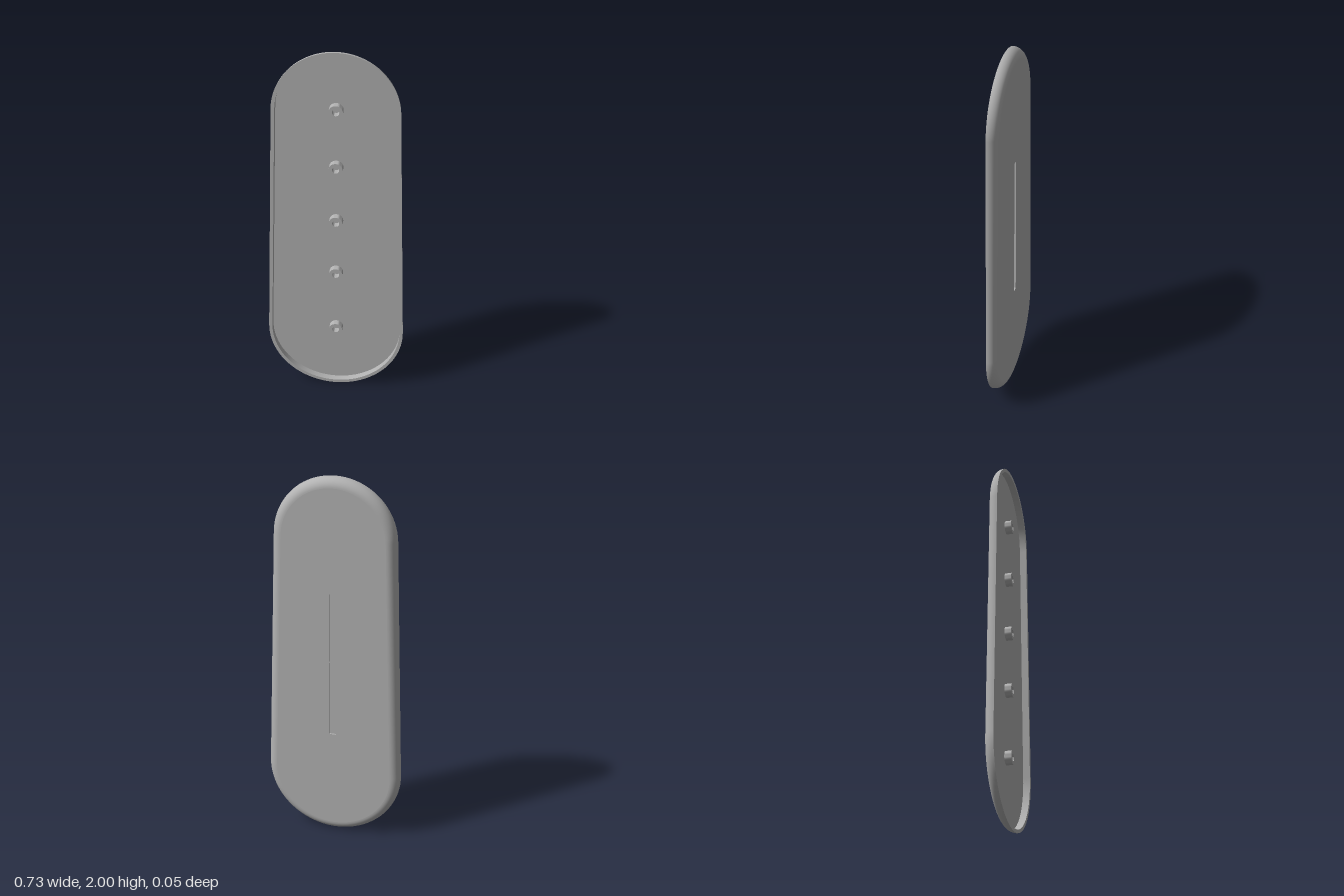
import * as THREE from 'three';
import { toCreasedNormals } from 'three/addons/utils/BufferGeometryUtils.js';

const BACK = -0.026, FRONT = 0.026, FLOOR = -0.01;
const FILLET = 0.05, WALL = 0.018;
const LOWER = { y: 0.365, r: 0.365 }, UPPER = { y: 1.682, r: 0.318 };

// Tapered pill outline, counterclockwise, offset inwards by inset
function outline(inset) {
  const tilt = Math.asin((LOWER.r - UPPER.r) / (UPPER.y - LOWER.y));
  const n = 40, points = [];
  const arc = (c, from, to) => {
    for (let i = 0; i <= n; i++) {
      const a = from + (to - from) * i / n, r = c.r - inset;
      points.push(new THREE.Vector2(r * Math.cos(a), c.y + r * Math.sin(a)));
    }
  };
  arc(UPPER, tilt, Math.PI - tilt);
  arc(LOWER, Math.PI - tilt, 2 * Math.PI + tilt);
  return points;
}

// Closed band through matching loops, each given as [points, z]
function band(loops) {
  const n = loops[0][0].length, pos = [], index = [];
  for (const [points, z] of loops) for (const p of points) pos.push(p.x, p.y, z);
  for (let s = 0; s < loops.length - 1; s++) {
    for (let i = 0; i < n; i++) {
      const j = (i + 1) % n, a = s * n, b = a + n;
      index.push(a + i, a + j, b + j, a + i, b + j, b + i);
    }
  }
  const g = new THREE.BufferGeometry();
  g.setAttribute('position', new THREE.Float32BufferAttribute(pos, 3));
  g.setIndex(index);
  g.computeVertexNormals();
  return g;
}

export function createModel() {
  const group = new THREE.Group();
  const grey = new THREE.MeshStandardMaterial({ color: 0xb2b2b2 });
  grey.name = 'grey';
  const add = (name, geometry) => {
    const mesh = new THREE.Mesh(geometry, grey);
    mesh.name = name;
    group.add(mesh);
    return mesh;
  };

  // Rounded outer side, from the back face to the front rim
  const side = [];
  for (let i = 0; i <= 12; i++) {
    const a = i / 12 * Math.PI / 2;
    side.push([outline(FILLET * (1 - Math.sin(a))), BACK + FILLET * (1 - Math.cos(a))]);
  }
  side.push([outline(0), FRONT]);
  add('roundedSide', band(side));

  // Rim, inner wall and floor of the tray
  const inner = outline(WALL);
  add('rim', band([[outline(0), FRONT], [inner, FRONT]]));
  add('innerWall', band([[inner, FRONT], [inner, FLOOR]]));
  add('floor', new THREE.ShapeGeometry(new THREE.Shape(inner)).translate(0, 0, FLOOR));

  // Back face with a shallow vertical groove
  const w = 0.018, y0 = 0.6, y1 = 1.4, grooveZ = -0.017;
  const slot = [[-w, y0], [w, y0], [w, y1], [-w, y1]].map(([x, y]) => new THREE.Vector2(x, y));
  const backShape = new THREE.Shape(outline(FILLET));
  backShape.holes.push(new THREE.Path(slot));
  add('backFace', new THREE.ShapeGeometry(backShape).rotateY(Math.PI).translate(0, 0, BACK));
  add('grooveWalls', toCreasedNormals(band([[slot, grooveZ], [slot, BACK]]), 0.5));
  add('grooveFloor', new THREE.PlaneGeometry(2 * w, y1 - y0).rotateY(Math.PI)
    .translate(0, (y0 + y1) / 2, grooveZ));

  // Row of hollow posts standing on the floor
  const h = FRONT - FLOOR;
  const profile = [[0.036, 0], [0.036, h], [0.018, h], [0.018, 0]].map(([x, y]) => new THREE.Vector2(x, y));
  const post = toCreasedNormals(new THREE.LatheGeometry(profile, 32).rotateX(Math.PI / 2), 0.6);
  for (const y of [0.37, 0.73, 1.05, 1.365, 1.685]) add('post', post).position.set(0, y, FLOOR);

  return group;
}
